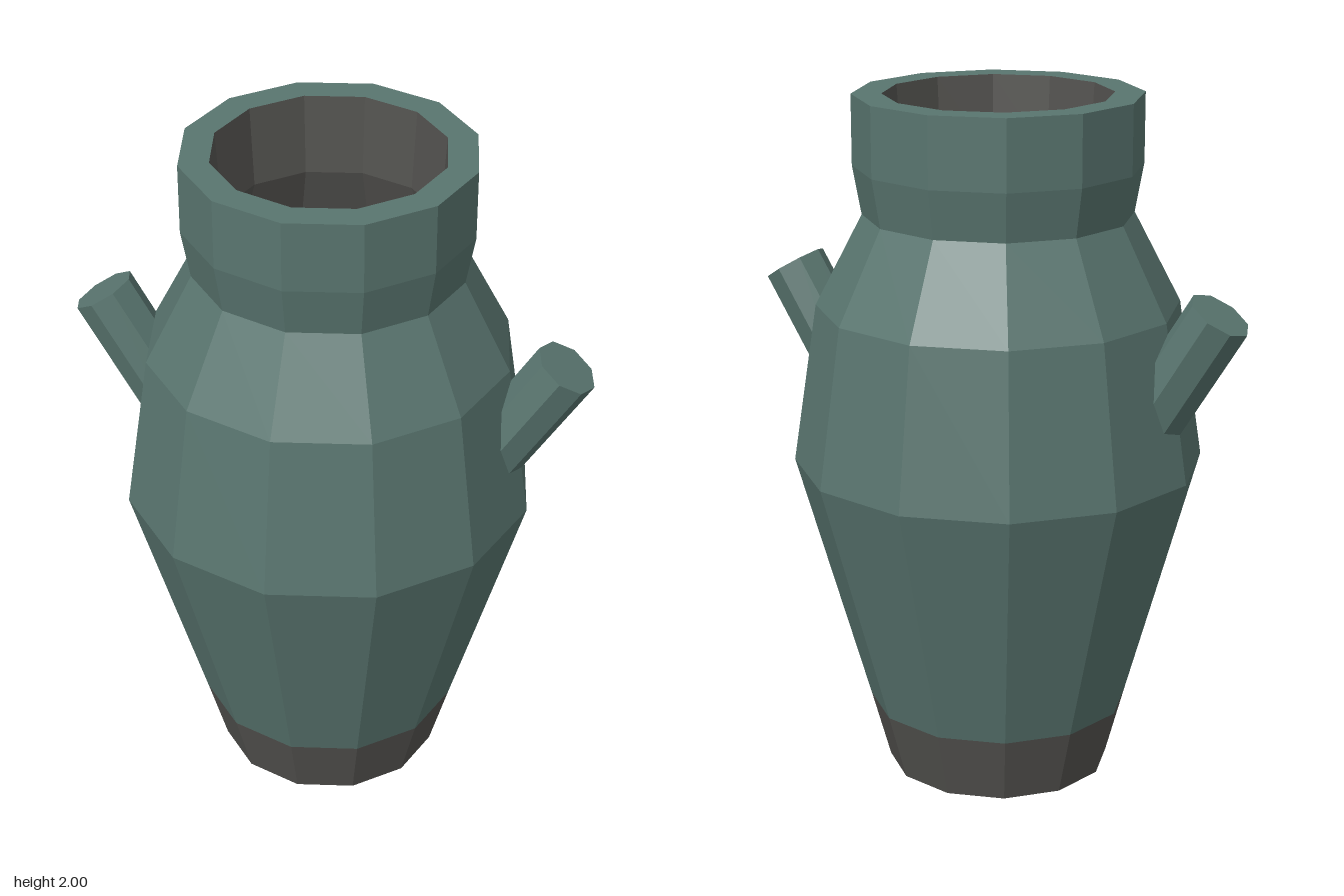
import * as THREE from 'three';

const SIDES = 12;

function paint(color) {
  const material = new THREE.MeshStandardMaterial({ flatShading: true });
  material.color.set(color);
  return material;
}

export function createModel() {
  const group = new THREE.Group();
  const glaze = paint(0x59756f);
  const clay = paint(0x545350);

  const turned = (name, profile, material) => {
    const points = profile.map(([r, y]) => new THREE.Vector2(r, y));
    const mesh = new THREE.Mesh(new THREE.LatheGeometry(points, SIDES), material);
    mesh.name = name;
    group.add(mesh);
  };

  // Unglazed foot with closed underside
  turned('foot', [[0, 0], [0.325, 0], [0.38, 0.2]], clay);

  // Glazed belly, shoulder, neck and flat rim
  turned('body', [
    [0.38, 0.2], [0.59, 0.94], [0.52, 1.4], [0.385, 1.66],
    [0.41, 1.8], [0.41, 2], [0.325, 2],
  ], glaze);

  // Hollow inside, from the rim down to the floor
  turned('interior', [
    [0.325, 2], [0.31, 1.77], [0.44, 1.37], [0.51, 0.94], [0.31, 0.2], [0.25, 0.06], [0, 0.06],
  ], clay);

  // Slanted octagonal stub handles, one on each side
  const length = 0.4;
  const tilt = 0.55;
  for (const side of [1, -1]) {
    const handle = new THREE.Mesh(new THREE.CylinderGeometry(0.093, 0.093, length, 8), glaze);
    handle.name = side > 0 ? 'leftHandle' : 'rightHandle';
    handle.rotation.z = -side * tilt;
    handle.position.set(
      side * (0.678 - Math.sin(tilt) * length / 2),
      1.443 - Math.cos(tilt) * length / 2,
      0,
    );
    group.add(handle);
  }

  return group;
}
